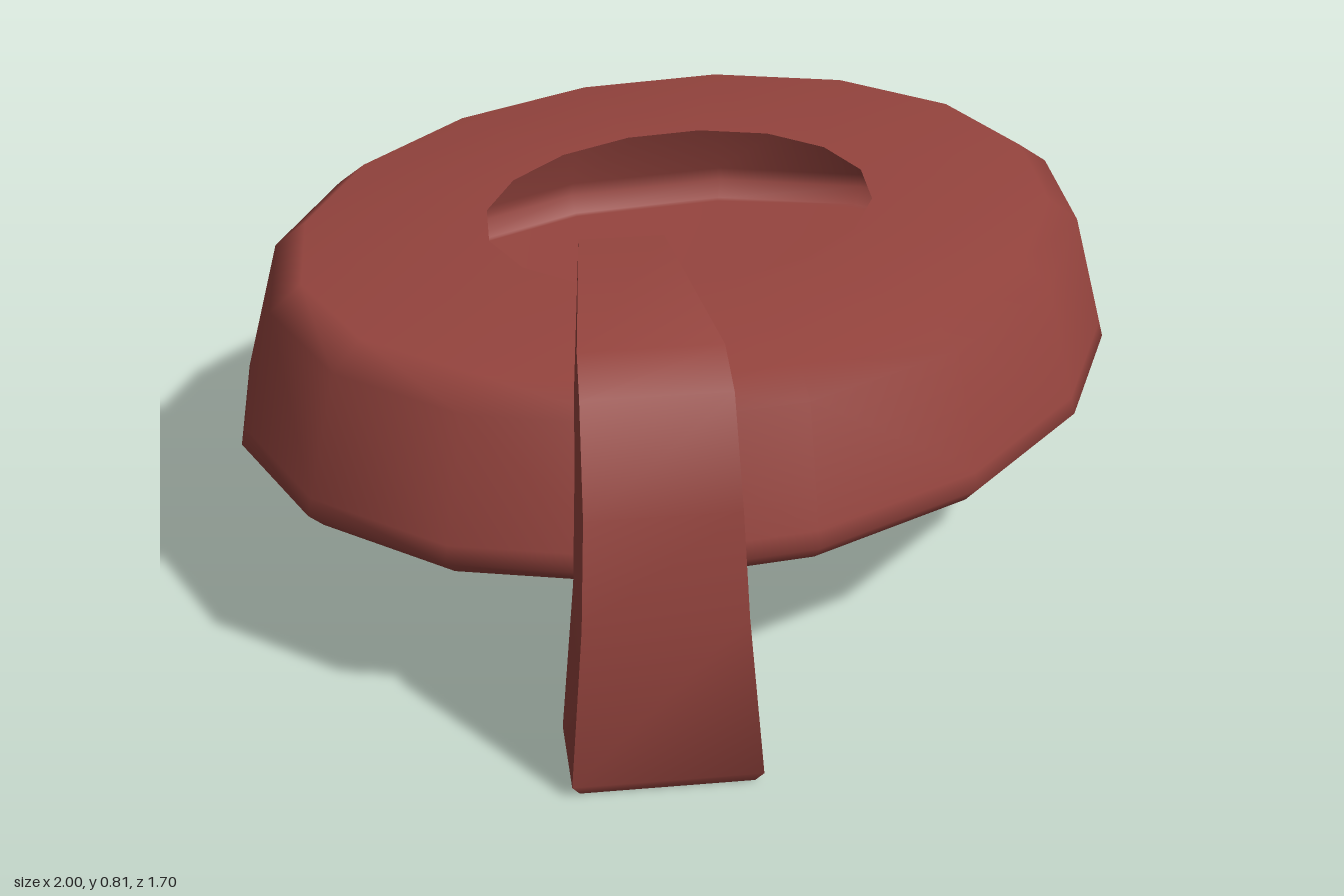
import * as THREE from 'three';
import { toCreasedNormals } from 'three/addons/utils/BufferGeometryUtils.js';

// Lofts a rectangular strap through cross-sections [outerU, outerY, innerU, innerY, halfWidth].
// U runs outwards from the ring's middle, V runs across the strap.
function strapGeometry(sections, centreV) {
  const U = new THREE.Vector3(-0.6, 0, 0.8);
  const V = new THREE.Vector3(0.8, 0, 0.6);
  const positions = [];
  const index = [];
  for (const [uo, yo, ui, yi, h] of sections) {
    for (const [u, y, side] of [[uo, yo, -1], [uo, yo, 1], [ui, yi, 1], [ui, yi, -1]]) {
      const p = new THREE.Vector3(0, y, 0).addScaledVector(U, u).addScaledVector(V, centreV + side * h);
      positions.push(p.x, p.y, p.z);
    }
  }
  const last = (sections.length - 1) * 4;
  for (let i = 0; i < last; i += 4) {
    for (let j = 0; j < 4; j++) {
      const k = (j + 1) % 4;
      index.push(i + j, i + k, i + 4 + k, i + j, i + 4 + k, i + 4 + j);
    }
  }
  index.push(0, 2, 1, 0, 3, 2); // foot
  index.push(last, last + 1, last + 2, last, last + 2, last + 3); // tip
  const geometry = new THREE.BufferGeometry();
  geometry.setAttribute('position', new THREE.Float32BufferAttribute(positions, 3));
  geometry.setIndex(index);
  return toCreasedNormals(geometry, 0.65);
}

export function createModel() {
  const group = new THREE.Group();
  const brickRed = new THREE.MeshStandardMaterial({ color: 0x95443e, side: THREE.DoubleSide });
  brickRed.name = 'brickRed';

  // Hollow oval ring: an open shell running from the lower rim round to the upper rim
  const profile = [
    [0.44, 0.315], [0.95, 0.333], [0.965, 0.336], [1.0, 0.37], [0.99, 0.405],
    [0.92, 0.65], [0.85, 0.7], [0.44, 0.714],
  ].map(([r, y]) => new THREE.Vector2(r, y));
  const ringGeometry = new THREE.LatheGeometry(profile, 16);
  ringGeometry.scale(1, 1, 0.835);
  ringGeometry.translate(0, 0, -0.02);
  const ring = new THREE.Mesh(ringGeometry, brickRed);
  ring.name = 'hollowRing';
  group.add(ring);

  // Tapered strap: leg on the ground, bend over the rim, tip hooked into the hole
  const strap = new THREE.Mesh(strapGeometry([
    [1.035, 0, 0.87, 0, 0.165],
    [1.05, 0.025, 0.852, 0.025, 0.18],
    [1.02, 0.35, 0.855, 0.35, 0.154],
    [0.99, 0.56, 0.825, 0.56, 0.145],
    [0.9, 0.755, 0.79, 0.685, 0.14],
    [0.81, 0.806, 0.74, 0.703, 0.135],
    [0.31, 0.797, 0.38, 0.727, 0.085],
    [0.22, 0.61, 0.29, 0.58, 0.075],
  ], -0.171), brickRed);
  strap.name = 'hookedStrap';
  group.add(strap);

  return group;
}
